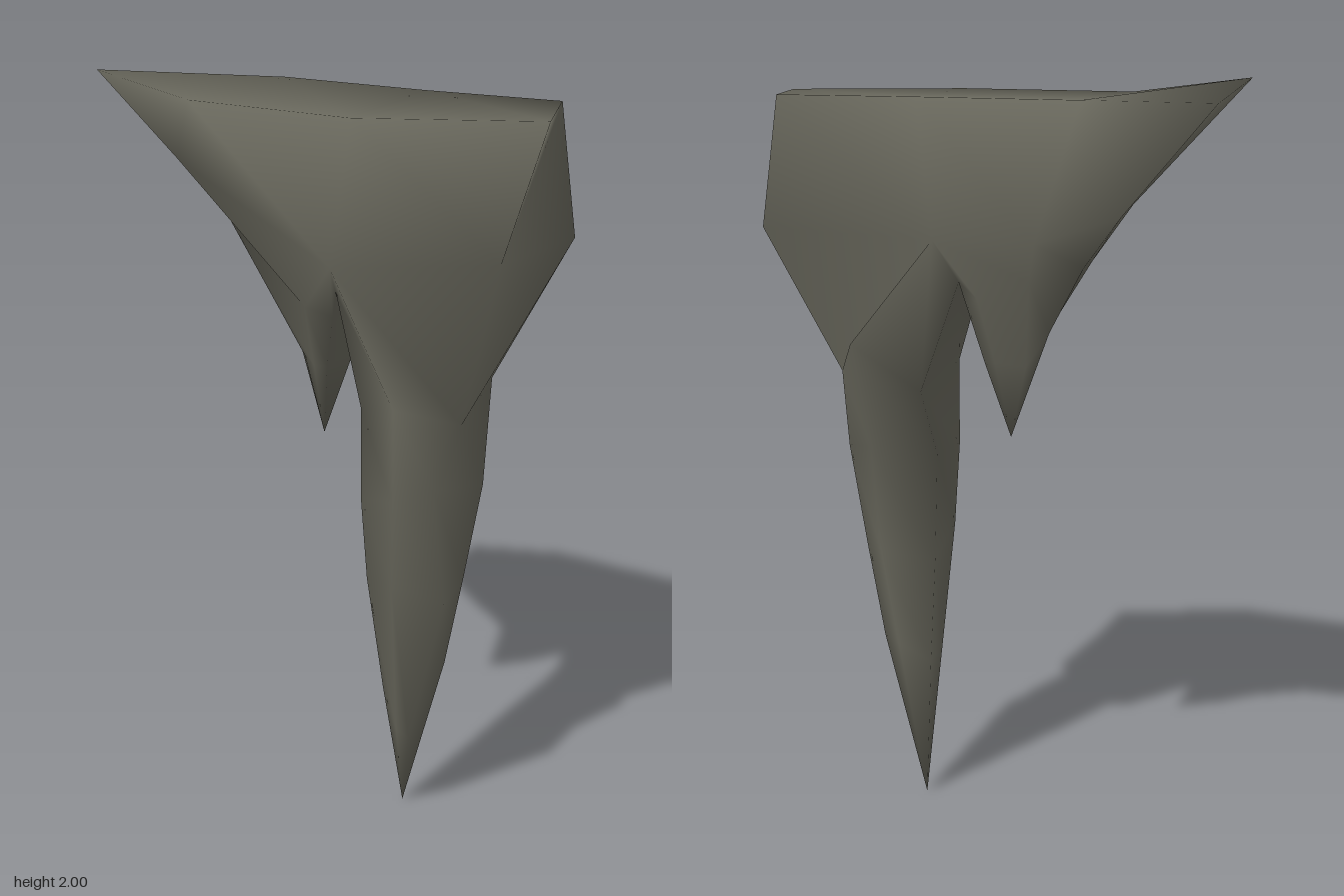
import * as THREE from 'three';

// A smooth-shaded hanging rock: a wide slab that splits into a long spike and a short one.
export function createModel() {
  const rock = new THREE.MeshStandardMaterial({ color: 0x66655a });
  rock.name = 'grey rock';

  const positions = [];
  const index = [];
  const add = (p) => positions.push(...p) / 3 - 1;
  const ring = (points) => points.map(add);

  // Wall between two rings, both running counterclockwise seen from above;
  // the sides listed in hollow are split along the other diagonal
  const loft = (upper, lower, hollow = []) => {
    upper.forEach((a, i) => {
      const j = (i + 1) % upper.length;
      const [b, c, d] = [upper[j], lower[i], lower[j]];
      if (hollow.includes(i)) index.push(c, d, b, c, b, a);
      else index.push(c, d, a, d, b, a);
    });
    return lower;
  };
  const close = (upper, tip) =>
    upper.forEach((a, i) => index.push(tip, upper[(i + 1) % upper.length], a));

  // Slab rim and the waist below it
  const rim = ring([
    [-0.62, 2, 0.08], [-0.3, 1.957, 0.185], [0.18, 1.957, 0.273], [0.62, 1.957, 0.13],
    [0.555, 1.957, -0.175], [0.18, 1.957, -0.205], [-0.25, 1.957, -0.275], [-0.57, 1.95, -0.21],
  ]);
  const waist = ring([
    [-0.36, 1.7, -0.15], [-0.33, 1.81, 0.19], [0.09, 1.57, 0.193], [0.53, 1.62, 0.185],
    [0.605, 1.62, -0.17], [0.15, 1.6, -0.175], [-0.12, 1.6, -0.2], [-0.35, 1.68, -0.275],
  ]);
  loft(rim, waist, [3]);

  // Top face
  [[0, 6, 7], [0, 1, 6], [1, 2, 6], [2, 5, 6], [2, 3, 5], [3, 4, 5]]
    .forEach((t) => index.push(...t.map((k) => rim[k])));

  // Saddle between the spikes
  const [saddleFront, saddleBack] = ring([[0.09, 1.5, 0.155], [0.09, 1.49, -0.14]]);

  // Long spike
  const spikeTop = [waist[2], waist[3], waist[4], waist[5], saddleBack, saddleFront];
  let spike = loft(spikeTop, ring([
    [0.27, 1.23, 0.21], [0.415, 1.18, 0.11], [0.415, 1.24, -0.12],
    [0.36, 1.33, -0.215], [0.19, 1.2, -0.155], [0.18, 1.22, 0.2],
  ]), [1, 2]);
  [
    [[0.27, 0.98, 0.203], [0.37, 1.02, 0.175], [0.45, 1, 0.03],
      [0.36, 1.02, -0.06], [0.185, 1, -0.02], [0.18, 0.98, 0.198]],
    [[0.26, 0.74, 0.18], [0.395, 0.7, 0.15], [0.4, 0.72, 0.02],
      [0.34, 0.72, -0.045], [0.195, 0.7, -0.015], [0.19, 0.75, 0.178]],
    [[0.25, 0.28, 0.106], [0.285, 0.26, 0.104], [0.35, 0.46, 0.01],
      [0.3, 0.45, -0.025], [0.212, 0.4, -0.01], [0.212, 0.4, 0.11]],
  ].forEach((section) => { spike = loft(spike, ring(section)); });
  close(spike, add([0.23, 0, 0]));

  // Short spike
  let stub = [waist[5], waist[6], waist[7], waist[0], waist[1], waist[2], saddleFront, saddleBack];
  [
    [[0.04, 1.45, -0.15], [-0.1, 1.5, -0.165], [-0.24, 1.54, -0.165], [-0.25, 1.55, -0.1],
      [-0.22, 1.66, 0.13], [0, 1.45, 0.145], [0.072, 1.43, 0.135], [0.07, 1.42, -0.13]],
    [[0, 1.28, -0.12], [-0.08, 1.27, -0.11], [-0.14, 1.36, -0.105], [-0.13, 1.36, -0.06],
      [-0.03, 1.3, 0.08], [0, 1.28, 0.09], [0.035, 1.28, 0.085], [0.03, 1.27, -0.1]],
  ].forEach((section) => { stub = loft(stub, ring(section)); });
  close(stub, add([-0.02, 1.06, -0.02]));

  const geometry = new THREE.BufferGeometry();
  geometry.setAttribute('position', new THREE.Float32BufferAttribute(positions, 3));
  geometry.setIndex(index);
  geometry.computeVertexNormals();

  const mesh = new THREE.Mesh(geometry, rock);
  mesh.name = 'hangingRock';
  const group = new THREE.Group();
  group.name = 'stalactite';
  group.add(mesh);
  return group;
}
